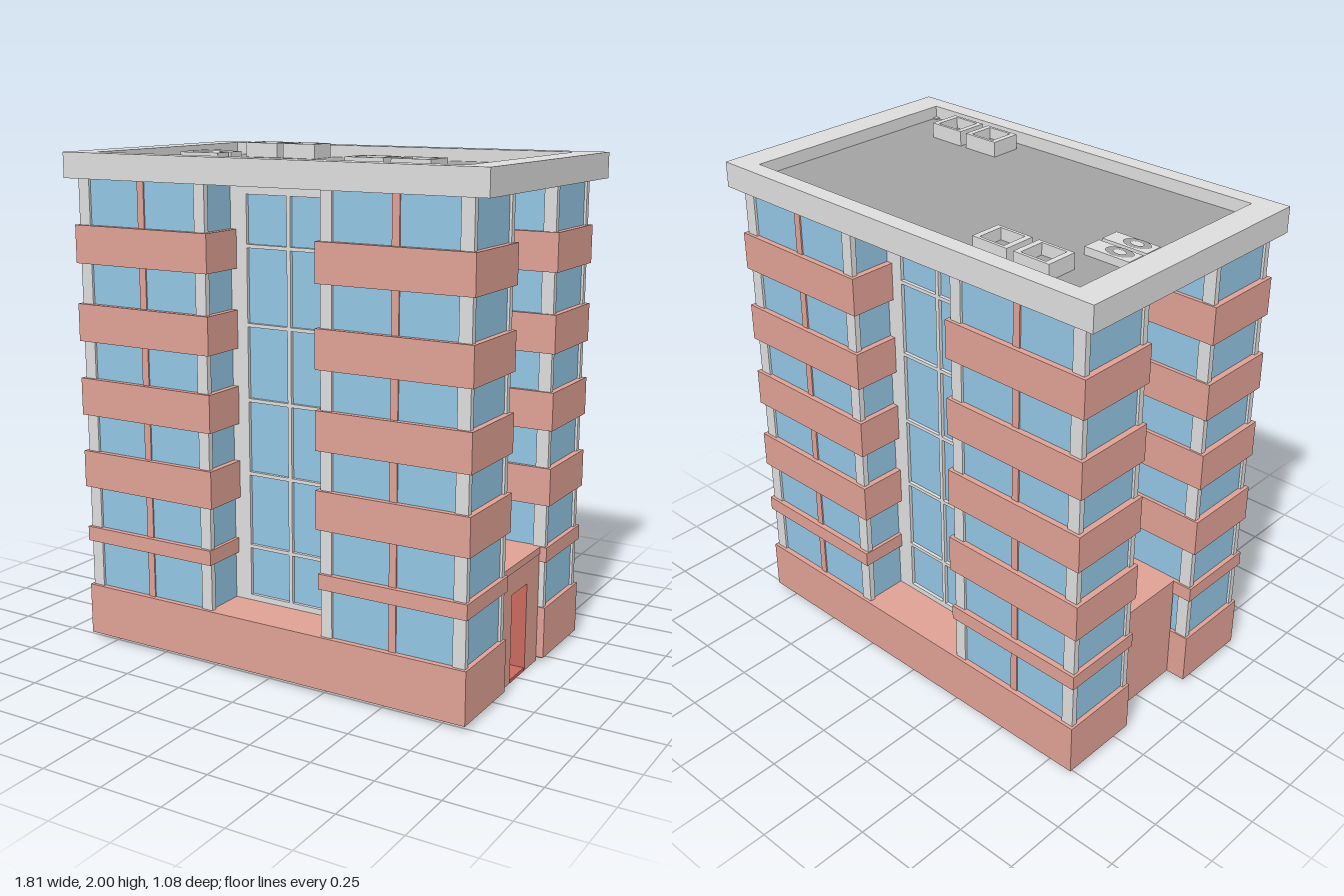
import * as THREE from 'three';

const mat = (name, color) =>
  Object.assign(new THREE.MeshStandardMaterial({ color }), { name });

export function createModel() {
  const concrete = mat('concrete grey', 0xdddddd);
  const cladding = mat('salmon cladding', 0xdfa194);
  const glass = mat('window blue', 0x93c5e4);
  const roofGrey = mat('roof grey', 0xa2a2a2);
  const doorRed = mat('doorway red', 0xc8695d);

  const model = new THREE.Group();
  model.name = 'apartmentBlock';
  const body = new THREE.Group();
  body.name = 'body';
  body.position.x = -0.0075;
  model.add(body);

  function add(parent, name, geometry, material) {
    const mesh = new THREE.Mesh(geometry, material);
    mesh.name = name;
    parent.add(mesh);
    return mesh;
  }

  // Box given by its limits on each axis, in either order
  function box(parent, name, material, x0, x1, y0, y1, z0, z1) {
    const g = new THREE.BoxGeometry(Math.abs(x1 - x0), Math.abs(y1 - y0), Math.abs(z1 - z0));
    g.translate((x0 + x1) / 2, (y0 + y1) / 2, (z0 + z1) / 2);
    return add(parent, name, g, material);
  }

  const rect = (x0, x1, y0, y1) => [[x0, y0], [x1, y0], [x1, y1], [x0, y1]];

  // Extrusion with the outline wound one way and its holes the other
  function extrude(pts, holes, depth) {
    const wind = (list, ccw) => {
      const v = list.map(([x, y]) => new THREE.Vector2(x, y));
      return (THREE.ShapeUtils.area(v) > 0) === ccw ? v : v.reverse();
    };
    const shape = new THREE.Shape(wind(pts, true));
    shape.holes = holes.map(h => new THREE.Path(wind(h, false)));
    return new THREE.ExtrudeGeometry(shape, { depth, bevelEnabled: false });
  }

  // Upright prism from a plan in x and z
  function prism(parent, name, material, pts, holes, y0, y1) {
    const plan = list => list.map(([x, z]) => [x, -z]);
    const g = extrude(plan(pts), holes.map(plan), y1 - y0);
    g.rotateX(-Math.PI / 2).translate(0, y0, 0);
    return add(parent, name, g, material);
  }

  // Wall facing +z with its face at z = 0 and panes set back in openings
  function windowWall(name, halfWidth, y0, y1, openings) {
    const wall = new THREE.Group();
    wall.name = name;
    const g = extrude(rect(-halfWidth, halfWidth, y0, y1), openings.map(o => rect(...o)), 0.025);
    add(wall, 'wall', g.translate(0, 0, -0.025), concrete);
    for (const o of openings) box(wall, 'pane', glass, ...o, -0.022, -0.014);
    body.add(wall);
    return wall;
  }

  const EAVES = 1.89;
  const corners = [[1, 1], [1, -1], [-1, 1], [-1, -1]];
  const bands = [[0.42, 0.48], [0.65, 0.8], [0.95, 1.1], [1.25, 1.4], [1.56, 1.71]];

  // Four hollow glazed corner towers
  for (const [sx, sz] of corners) {
    const tower = new THREE.Group();
    tower.name = 'cornerTower';
    body.add(tower);
    const plan = (x0, x1, z0, z1) => rect(sx * x0, sx * x1, sz * z0, sz * z1);
    prism(tower, 'towerGlass', glass, plan(0.26, 0.838, 0.198, 0.502),
      [plan(0.268, 0.83, 0.206, 0.494)], 0.025, EAVES);
    for (const [x0, x1] of [[0.25, 0.2975], [0.797, 0.848]])
      for (const [z0, z1] of [[0.19, 0.214], [0.488, 0.512]])
        box(tower, 'column', concrete, sx * x0, sx * x1, 0.015, EAVES, sz * z0, sz * z1);
    box(tower, 'pilaster', cladding, sx * 0.535, sx * 0.565, 0.1, EAVES, sz * 0.495, sz * 0.508);
    for (const [y0, y1] of bands) {
      const e = y1 - y0 < 0.1 ? 0.01 : 0;
      prism(tower, 'balconyBand', cladding, plan(0.235 + e, 0.8625 - e / 2, 0.182, 0.525),
        [plan(0.264, 0.834, 0.202, 0.498)], y0, y1);
    }
  }

  for (const s of [1, -1]) {
    // Thin plinth wrapped round two towers, with a ledge between them
    const half = [
      [0.56, 0.184], [0.8575, 0.184], [0.8575, 0.525], [-0.8575, 0.525],
      [-0.8575, 0.184], [-0.56, 0.184], [-0.56, 0.204], [-0.835, 0.204],
      [-0.835, 0.5], [0.835, 0.5], [0.835, 0.204], [0.56, 0.204]];
    prism(body, 'plinth', cladding, half.map(([x, z]) => [x, s * z]), [], 0.02, 0.23);
    box(body, 'ledge', cladding, -0.262, 0.262, 0.215, 0.229, s * 0.31, s * 0.51);

    // Recessed stair windows on the front and back
    const rows = [0.245, 0.455, 0.755, 1.05, 1.345, 1.648, 1.85];
    const bayPanes = [];
    for (let i = 0; i < 6; i++)
      for (const x of [-0.1875, 0.008])
        bayPanes.push([x, x + 0.1795, rows[i] + 0.007, rows[i + 1] - 0.007]);
    const bay = windowWall(s > 0 ? 'frontBay' : 'backBay', 0.262, 0.03, EAVES, bayPanes);
    bay.position.z = s * 0.33;
    bay.rotation.y = s > 0 ? 0 : Math.PI;

    // Recessed end walls with paired windows
    const endPanes = [];
    for (const y of [0.68, 0.99, 1.29, 1.6])
      for (const x of [-0.12, 0.003]) endPanes.push([x, x + 0.117, y, y + 0.21]);
    const end = windowWall(s > 0 ? 'leftEnd' : 'rightEnd', 0.2, 0.02, EAVES, endPanes);
    end.position.x = s * 0.56;
    end.rotation.y = s * Math.PI / 2;
  }

  // Entrance porch with an open doorway
  const arch = [[-0.185, 0], [-0.07, 0], [-0.07, 0.36], [0.07, 0.36], [0.07, 0],
    [0.185, 0], [0.185, 0.45], [-0.185, 0.45]];
  const porch = extrude(arch, [], 0.267);
  porch.rotateY(Math.PI / 2).translate(0.5605, 0.003, 0);
  add(body, 'entrancePorch', porch, [cladding, doorRed]);
  box(body, 'porchRoof', cladding, 0.56, 0.83, 0.452, 0.48, -0.186, 0.186);
  box(body, 'doorSill', doorRed, 0.56, 0.825, 0, 0.014, -0.072, 0.072);

  // Closed block on the opposite end
  box(body, 'serviceBlock', cladding, -0.56, -0.775, 0.02, 0.48, -0.186, 0.186);

  // Roof deck inside a wide parapet
  prism(model, 'parapet', concrete, rect(-0.905, 0.905, -0.54, 0.54),
    [rect(-0.79, 0.79, -0.47, 0.47)], EAVES, 1.99);
  box(model, 'roofDeck', roofGrey, -0.792, 0.792, 1.895, 1.94, -0.472, 0.472);
  for (const [sx, sz] of corners)
    box(model, 'cornerBlock', concrete, sx * 0.79, sx * 0.772, 1.93, 1.945, sz * 0.47, sz * 0.452);

  // Open square roof vents
  for (const [x, z] of [[-0.545, -0.362], [-0.36, -0.362], [0.365, 0.355], [0.55, 0.355]]) {
    const vent = new THREE.Group();
    vent.name = 'roofVent';
    vent.position.set(x, 0, z);
    model.add(vent);
    prism(vent, 'ventFrame', concrete, rect(-0.078, 0.078, -0.064, 0.064),
      [rect(-0.055, 0.055, -0.052, 0.052)], 1.94, 2);
    box(vent, 'ventFloor', roofGrey, -0.056, 0.056, 1.94, 1.955, -0.053, 0.053);
  }

  // Low cooling units with round fans
  for (const z of [-0.147, -0.053]) {
    const unit = new THREE.Group();
    unit.name = 'coolingUnit';
    model.add(unit);
    box(unit, 'unitCase', concrete, -0.76, -0.57, 1.94, 1.97, z - 0.038, z + 0.038);
    const ring = new THREE.RingGeometry(0.45, 1, 24).rotateX(-Math.PI / 2);
    ring.scale(0.056, 1, 0.034).translate(-0.69, 1.973, z);
    add(unit, 'unitFan', ring, roofGrey);
  }

  return model;
}
